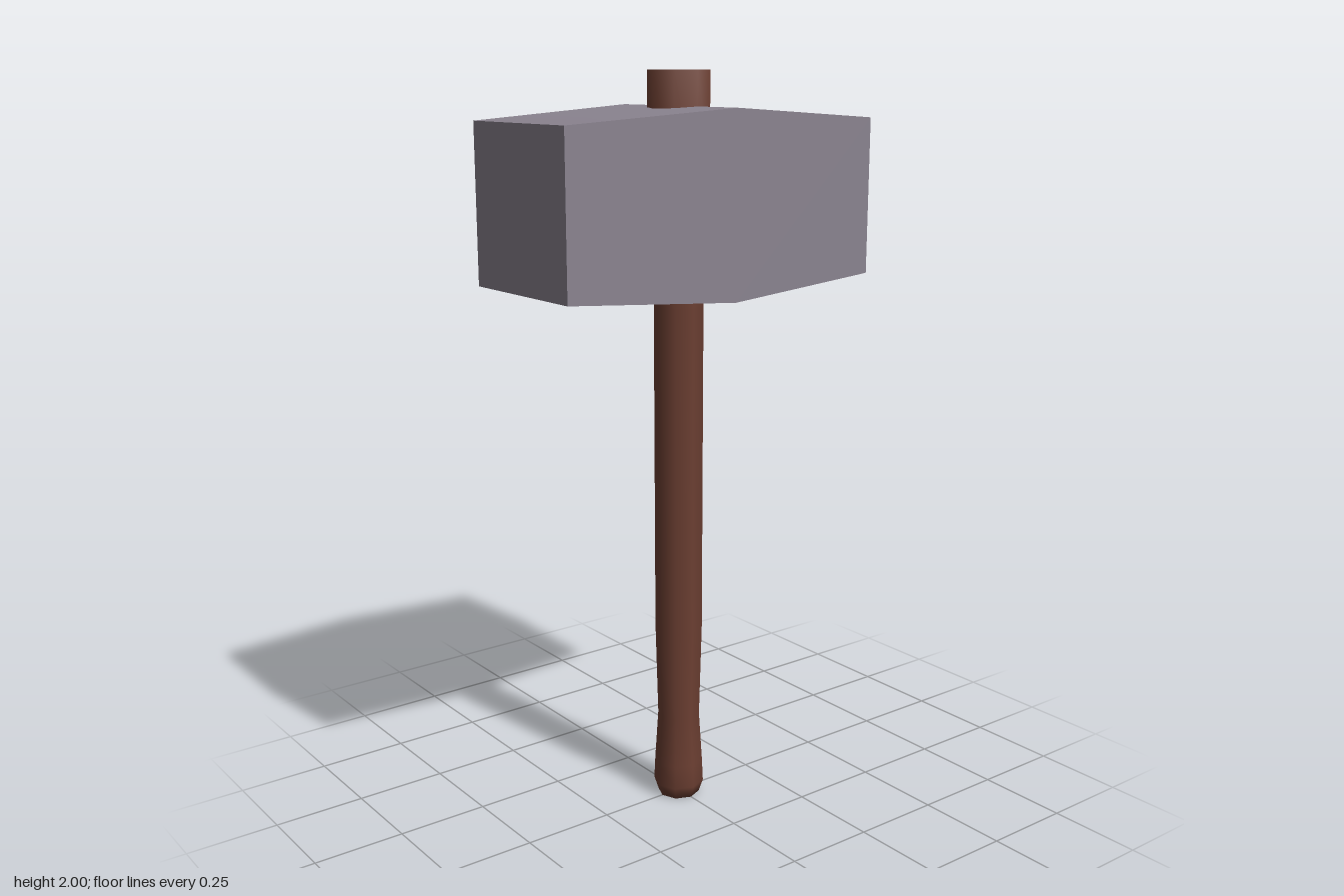
import * as THREE from 'three';

const iron = new THREE.MeshStandardMaterial({ color: 0x8a838f });
iron.name = 'iron';
const wood = new THREE.MeshStandardMaterial({ color: 0x6c3f32 });
wood.name = 'wood';

// Block that swells towards its middle and tapers to both striking faces
function createHead() {
  const geometry = new THREE.BoxGeometry(0.96, 0.41, 0.41, 2, 1, 1);
  const position = geometry.attributes.position;
  const swell = 0.475 / 0.41;
  for (let i = 0; i < position.count; i++) {
    if (Math.abs(position.getX(i)) < 0.01) {
      position.setY(i, position.getY(i) * swell);
      position.setZ(i, position.getZ(i) * swell);
    }
  }
  geometry.computeVertexNormals();
  const head = new THREE.Mesh(geometry, iron);
  head.name = 'hammerHead';
  head.position.y = 1.673;
  return head;
}

// Eight-sided shaft with a flared grip, its top poking out of the head
function createHandle() {
  const profile = [
    [0, 0], [0.058, 0], [0.07, 0.035], [0.067, 0.1], [0.058, 0.24],
    [0.065, 0.5], [0.066, 1.4], [0.081, 1.7], [0.081, 2], [0, 2],
  ].map(([radius, y]) => new THREE.Vector2(radius, y));
  const handle = new THREE.Mesh(new THREE.LatheGeometry(profile, 8), wood);
  handle.name = 'handle';
  return handle;
}

export function createModel() {
  const model = new THREE.Group();
  model.name = 'sledgehammer';
  model.add(createHead(), createHandle());
  return model;
}
